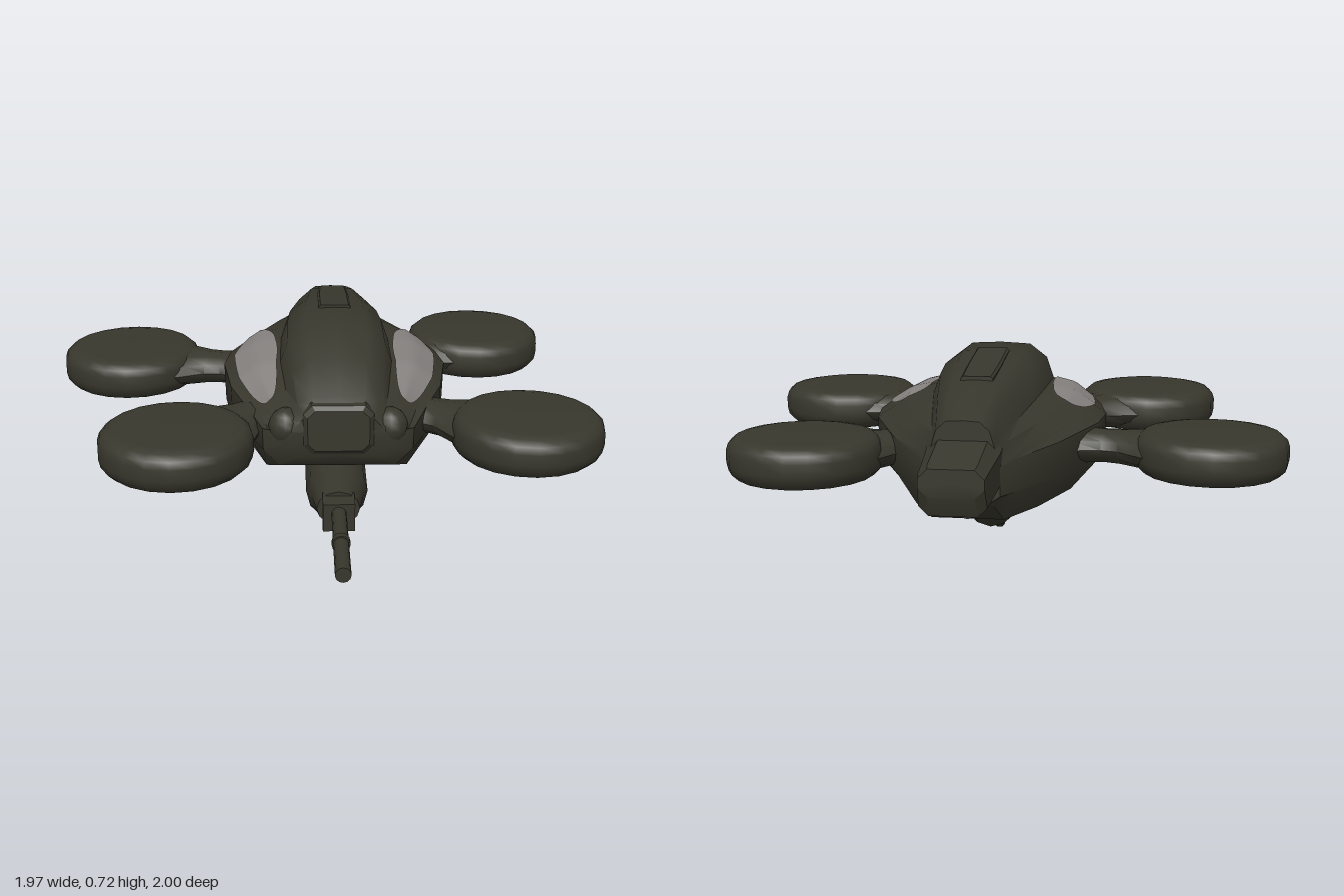
import * as THREE from 'three';
import { toCreasedNormals } from 'three/addons/utils/BufferGeometryUtils.js';

const CX = 0.065; // centre line of the hull

// Skin a series of closed rings and cap both ends
function loft(rings, crease = 0.75) {
  const n = rings[0].length, pos = [], idx = [];
  rings.forEach(r => r.forEach(p => pos.push(...p)));
  for (let i = 0; i < rings.length - 1; i++) {
    for (let j = 0; j < n; j++) {
      const a = i * n + j, b = i * n + (j + 1) % n;
      idx.push(a, b, a + n, b, b + n, a + n);
    }
  }
  for (const [k, flip] of [[0, true], [rings.length - 1, false]]) {
    const c = [0, 1, 2].map(d => rings[k].reduce((s, p) => s + p[d], 0) / n);
    const m = pos.length / 3;
    pos.push(...c);
    for (let j = 0; j < n; j++) {
      const a = k * n + j, b = k * n + (j + 1) % n;
      idx.push(...(flip ? [m, b, a] : [m, a, b]));
    }
  }
  // Signed volume decides the winding
  const v = i => new THREE.Vector3(pos[3 * i], pos[3 * i + 1], pos[3 * i + 2]);
  let vol = 0;
  for (let i = 0; i < idx.length; i += 3) vol += v(idx[i]).dot(v(idx[i + 1]).cross(v(idx[i + 2])));
  if (vol < 0) idx.reverse();
  const g = new THREE.BufferGeometry();
  g.setAttribute('position', new THREE.Float32BufferAttribute(pos, 3));
  g.setIndex(idx);
  return toCreasedNormals(g, crease);
}

// Hull stations: z, top, hump half width, shoulder y, half width, side base y, bottom, bottom half width
const STATIONS = [
  [0.48, 0.53, 0.13, 0.48, 0.18, 0.40, 0.36, 0.12],
  [0.44, 0.56, 0.16, 0.50, 0.26, 0.37, 0.31, 0.20],
  [0.30, 0.64, 0.18, 0.53, 0.31, 0.36, 0.25, 0.25],
  [0.13, 0.712, 0.20, 0.575, 0.38, 0.35, 0.245, 0.30],
  [-0.10, 0.715, 0.20, 0.585, 0.415, 0.35, 0.245, 0.32],
  [-0.25, 0.70, 0.19, 0.58, 0.395, 0.35, 0.245, 0.30],
  [-0.50, 0.67, 0.15, 0.55, 0.28, 0.35, 0.245, 0.21],
  [-0.69, 0.625, 0.115, 0.53, 0.16, 0.345, 0.25, 0.12],
  [-0.78, 0.595, 0.10, 0.51, 0.12, 0.35, 0.33, 0.09],
];

// Right half of a hull section, from the crown to the keel
function halfSection([, T, h, S, w, M, B, bw]) {
  const d = T - S, e = w - h;
  return [
    [0, T], [0.55 * h, T - 0.04 * d], [0.87 * h, T - 0.4 * d], [h, S + 0.005],
    [h + 0.45 * e, S - 0.015], [h + 0.78 * e, S - 0.06], [w, S - 0.4 * (S - M)], [w * 0.99, M], [bw, B], [0, B],
  ];
}

// Hull ring, mirrored about the centre line
function hullRing(s) {
  const half = halfSection(s);
  const left = half.slice(1, -1).reverse().map(([x, y]) => [-x, y]);
  return [...half, ...left].map(([x, y]) => [CX + x, y, s[0]]);
}

// Point on the hull at depth z and fractional section index u
function hullPoint(z, u) {
  let i = 0;
  while (i < STATIONS.length - 2 && z < STATIONS[i + 1][0]) i++;
  const a = STATIONS[i], b = STATIONS[i + 1], t = (z - a[0]) / (b[0] - a[0]);
  const half = halfSection(a.map((v, k) => v + (b[k] - v) * t));
  const k = Math.floor(u), f = u - k;
  return [0, 1].map(d => half[k][d] + (half[k + 1][d] - half[k][d]) * f);
}

// Window following the shoulder of the hull
function windowGeometry(side) {
  const N = 28, M = 8, pos = [], idx = [];
  for (let i = 0; i <= N; i++) {
    const t = -Math.cos(Math.PI * i / N), z = 0.035 + 0.30 * t;
    const r = Math.sqrt(Math.max(0, 1 - t * t));
    for (let j = 0; j <= M; j++) {
      const u = 4.15 + (j / M * 2 - 1) * 1.05 * Math.pow(r, 0.8);
      const [x, y] = hullPoint(z, u);
      pos.push(CX + side * (x + 0.003), y + 0.006, z);
      if (i < N && j < M) {
        const a = i * (M + 1) + j, b = a + M + 1;
        if (side > 0) idx.push(a, b, a + 1, b, b + 1, a + 1);
        else idx.push(a, a + 1, b, b, a + 1, b + 1);
      }
    }
  }
  const g = new THREE.BufferGeometry();
  g.setAttribute('position', new THREE.Float32BufferAttribute(pos, 3));
  g.setIndex(idx);
  g.computeVertexNormals();
  return g;
}

// Rounded ring in the xy plane, from bottom y to top y
function podRing([z, y0, y1, rx], n = 12) {
  return Array.from({ length: n }, (_, i) => {
    const a = i / n * Math.PI * 2;
    return [CX + rx * Math.cos(a), (y0 + y1) / 2 + (y1 - y0) / 2 * Math.sin(a), z];
  });
}

// Bevelled box ring
function boxRing([z, y0, y1, w, b]) {
  return [[w, y0 + b], [w, y1 - b], [w - b, y1], [b - w, y1], [-w, y1 - b], [-w, y0 + b], [b - w, y0], [w - b, y0]]
    .map(([x, y]) => [CX + x, y, z]);
}

export function createModel() {
  const olive = new THREE.MeshStandardMaterial({ color: 0x38372d });
  olive.name = 'dark olive';
  const grey = new THREE.MeshStandardMaterial({ color: 0x868280, side: THREE.DoubleSide });
  grey.name = 'window grey';
  const group = new THREE.Group();
  const add = (name, geo, mat = olive, p = [0, 0, 0]) => {
    const m = new THREE.Mesh(geo, mat);
    m.name = name;
    m.position.set(...p);
    group.add(m);
    return m;
  };

  // Hull, tail and spine
  add('hull', loft(STATIONS.map(hullRing)));
  add('tail', loft([
    [-0.70, 0.33, 0.55, 0.125, 0.04], [-0.78, 0.345, 0.53, 0.12, 0.04],
    [-0.97, 0.335, 0.497, 0.107, 0.03], [-1.0, 0.40, 0.49, 0.103, 0.03],
  ].map(boxRing), 0.5));
  add('spine', loft([
    [-0.09, 0.66, 0.724, 0.06, 0.008], [-0.30, 0.64, 0.702, 0.06, 0.008], [-0.48, 0.62, 0.684, 0.055, 0.008],
  ].map(boxRing), 0.5));
  for (const side of [1, -1]) {
    add(side > 0 ? 'leftWindow' : 'rightWindow', windowGeometry(side), grey);
  }

  // Nose sensors
  add('noseBlock', loft([
    [0.40, 0.37, 0.55, 0.13, 0.03], [0.48, 0.37, 0.545, 0.12, 0.03], [0.495, 0.385, 0.53, 0.105, 0.025],
  ].map(boxRing), 0.5));
  for (const side of [1, -1]) {
    const s = add('noseSensor', new THREE.SphereGeometry(0.06, 12, 8), olive, [CX + side * 0.18, 0.45, 0.425]);
    s.scale.y = 1.1;
  }

  // Gun pod under the hull
  add('gunPod', loft([
    [0.50, 0.11, 0.235, 0.075], [0.40, 0.085, 0.25, 0.09], [0.32, 0.04, 0.27, 0.11],
    [0.05, 0.04, 0.27, 0.112], [-0.17, 0.07, 0.29, 0.10], [-0.40, 0.195, 0.34, 0.075], [-0.70, 0.25, 0.34, 0.045],
  ].map(r => podRing(r))));
  add('podKeel', loft([
    [0.32, 0.03, 0.10, 0.03, 0.008], [0.28, 0.022, 0.10, 0.022, 0.008],
    [0.07, 0.0, 0.10, 0.018, 0.008], [0.03, 0.04, 0.10, 0.018, 0.008],
  ].map(boxRing), 0.5));
  const rod = (name, r, z0, z1) => add(name,
    new THREE.CylinderGeometry(r, r, z1 - z0, 12).rotateX(Math.PI / 2), olive, [CX, 0.185, (z0 + z1) / 2]);
  add('gunCollar', new THREE.BoxGeometry(0.11, 0.1, 0.1), olive, [CX, 0.17, 0.52]);
  rod('gunBarrel', 0.026, 0.5, 1.0);
  rod('barrelBand', 0.031, 0.77, 0.795);

  // Ducted rotors on flared arms: rotor x, z and the hull point x, z
  const profile = [[0, 0.342], [0.2, 0.342], [0.235, 0.35], [0.258, 0.372], [0.264, 0.40],
    [0.264, 0.44], [0.256, 0.465], [0.235, 0.483], [0.2, 0.49], [0, 0.493]].map(p => new THREE.Vector2(...p));
  const rotors = [
    ['rearRight', -0.725, -0.345, -0.3, -0.27], ['rearLeft', 0.645, -0.55, 0.33, -0.37],
    ['frontLeft', 0.72, 0.41, 0.36, 0.22], ['frontRight', -0.485, 0.51, -0.2, 0.22],
  ];
  for (const [name, x, z, ax, az] of rotors) {
    add(name + 'Rotor', new THREE.LatheGeometry(profile, 20), olive, [x, 0, z]);
    const L = Math.hypot(ax - x, az - z), dx = (ax - x) / L, dz = (az - z) / L;
    const rings = [[0.17, 0.18, 0.066], [0.24, 0.14, 0.064], [0.31, 0.095, 0.06], [0.37, 0.088, 0.058], [0.47, 0.125, 0.062]]
      .map(([d, w, h]) => Array.from({ length: 12 }, (_, i) => {
        const a = i / 12 * Math.PI * 2, s = Math.cos(a) * w;
        return [x + dx * d - dz * s, 0.415 + Math.sin(a) * h, z + dz * d + dx * s];
      }));
    add(name + 'Arm', loft(rings));
  }
  return group;
}
